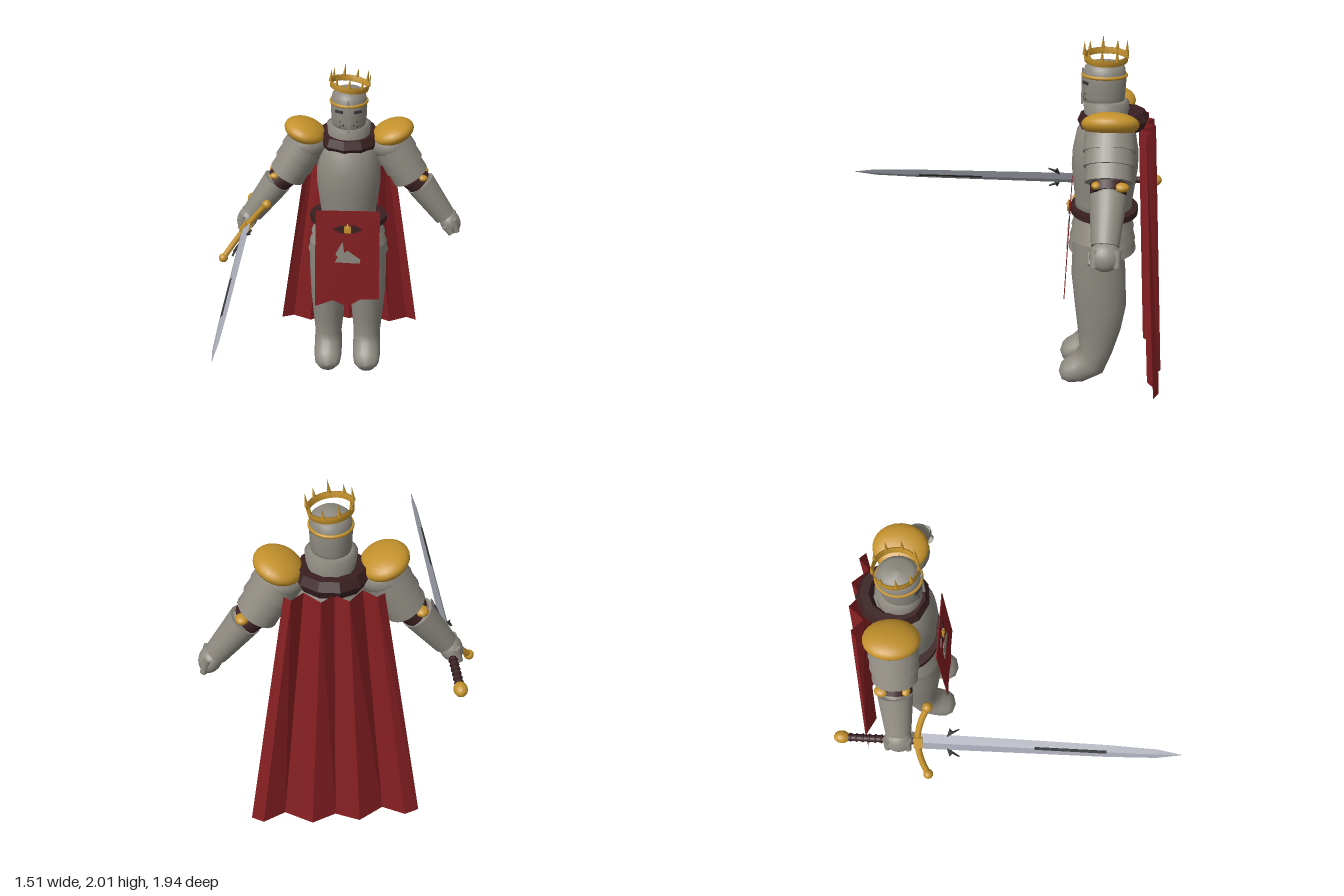
import * as THREE from 'three';

const mat = (name, color) => Object.assign(new THREE.MeshStandardMaterial({ color }), { name });

export function createModel() {
  const armour = mat('armour grey', 0x8e8a81);
  const gold = mat('gold', 0xc4922c);
  const red = mat('red cloth', 0x861f22);
  red.side = THREE.DoubleSide;
  const leather = mat('dark leather', 0x3a2022);
  const steel = mat('blade steel', 0xa6a9b4);
  const dark = mat('dark iron', 0x38383c);

  const model = new THREE.Group();
  model.name = 'knight';
  const body = new THREE.Group();
  body.name = 'body';
  body.position.x = 0.05;
  model.add(body);

  const add = (parent, name, geo, m, x = 0, y = 0, z = 0) => {
    const mesh = new THREE.Mesh(geo, m);
    mesh.name = name;
    mesh.position.set(x, y, z);
    parent.add(mesh);
    return mesh;
  };
  const flat = (geo) => {
    const g = geo.index ? geo.toNonIndexed() : geo;
    g.computeVertexNormals();
    return g;
  };
  const lathe = (pts, sz) =>
    new THREE.LatheGeometry(pts.map((p) => new THREE.Vector2(p[0], p[1])), 32).scale(1, 1, sz);
  const ball = (x, y, z) => new THREE.SphereGeometry(1, 24, 16).scale(x, y, z);
  // tapered cylinder from point a to point b
  const limb = (parent, name, a, b, ra, rb, m, depth = 1) => {
    const va = new THREE.Vector3(...a), vb = new THREE.Vector3(...b);
    const d = vb.clone().sub(va);
    const mesh = add(parent, name, new THREE.CylinderGeometry(rb, ra, d.length(), 24).scale(1, 1, depth), m);
    mesh.position.copy(va).addScaledVector(d, 0.5);
    mesh.quaternion.setFromUnitVectors(new THREE.Vector3(0, 1, 0), d.normalize());
    return mesh;
  };
  // rings: [y, z, half width, half depth, tilt], running down the leg to the toe
  const loft = (rings, n = 20) => {
    const pos = [], idx = [];
    rings.forEach(([y, z, rx, rd, t], r) => {
      for (let j = 0; j < n; j++) {
        const a = (j / n) * Math.PI * 2, d = Math.sin(a) * rd;
        pos.push(Math.cos(a) * rx, y + d * Math.sin(t), z + d * Math.cos(t));
        if (r === rings.length - 1) continue;
        const i = r * n + j, k = r * n + ((j + 1) % n);
        idx.push(i, k, i + n, k, k + n, i + n);
      }
    });
    const g = new THREE.BufferGeometry();
    g.setAttribute('position', new THREE.Float32BufferAttribute(pos, 3));
    g.setIndex(idx);
    g.computeVertexNormals();
    return g;
  };
  const plate = (pts, depth) => new THREE.ExtrudeGeometry(
    new THREE.Shape(pts.map((p) => new THREE.Vector2(p[0], p[1]))), { depth, bevelEnabled: false });

  // torso, gorget and hip plates
  add(body, 'torso', lathe([[0, 0.98], [0.17, 0.98], [0.17, 1.1], [0.18, 1.17], [0.196, 1.3], [0.192, 1.4],
    [0.17, 1.51], [0.12, 1.58], [0, 1.6]], 0.94), armour, 0, 0, -0.605);
  add(body, 'gorget', lathe([[0, 1.5], [0.15, 1.5], [0.125, 1.6], [0.132, 1.67], [0.1, 1.68], [0, 1.68]], 0.95),
    armour, 0, 0, -0.6);
  [[1.03, 0.2, 0.232], [0.96, 0.215, 0.245], [0.9, 0.23, 0.253]].forEach(([y, r0, r1]) =>
    add(body, 'hipPlate', new THREE.CylinderGeometry(r0, r1, 0.08, 32).scale(1, 1, 0.76), armour, 0, y - 0.04, -0.605));
  add(body, 'belt', new THREE.CylinderGeometry(0.24, 0.24, 0.035, 32).scale(1, 1, 0.79), leather, 0, 1.05, -0.61);
  const scarf = new THREE.TorusGeometry(0.148, 0.046, 6, 11).rotateX(Math.PI / 2).scale(1, 1.2, 1.02);
  add(body, 'scarf', flat(scarf), leather, 0, 1.565, -0.64).rotation.x = 0.07;

  // helmet with face ridge, eye slits, breaths and brow band
  add(body, 'helmet', lathe([[0, 1.64], [0.095, 1.64], [0.104, 1.7], [0.107, 1.78], [0.105, 1.82], [0.098, 1.86],
    [0.07, 1.885], [0, 1.895]], 1.1), armour, 0, 0, -0.585);
  add(body, 'faceRidge', new THREE.BoxGeometry(0.012, 0.2, 0.012), armour, 0, 1.75, -0.468);
  add(body, 'browBand', new THREE.TorusGeometry(0.107, 0.008, 8, 32).rotateX(Math.PI / 2).scale(1, 1.2, 1.1),
    gold, 0, 1.815, -0.585);
  for (const s of [-1, 1]) {
    add(body, 'eyeSlit', new THREE.BoxGeometry(0.05, 0.016, 0.009), dark, s * 0.055, 1.78, -0.484).rotation.y = s * 0.55;
    for (const [x, y] of [[0.03, 1.7], [0.05, 1.72], [0.05, 1.69]])
      add(body, 'breath', new THREE.BoxGeometry(0.008, 0.008, 0.009), dark, s * x, y, -0.585 + 1.1 * Math.sqrt(0.0108 - x * x));
  }

  // crown
  const crown = new THREE.Group();
  crown.name = 'crown';
  crown.position.set(0.002, 1.91, -0.59);
  crown.rotation.z = -0.13;
  body.add(crown);
  add(crown, 'crownBand', lathe([[0.108, -0.015], [0.114, -0.018], [0.118, 0.018], [0.11, 0.018], [0.108, -0.015]], 1.02), gold);
  for (let i = 0; i < 9; i++) {
    const a = (i / 9) * Math.PI * 2 + 0.2, h = i % 2 ? 0.055 : 0.075;
    const x = Math.cos(a) * 0.115, z = Math.sin(a) * 0.117;
    add(crown, 'crownSpike', new THREE.ConeGeometry(0.011, h, 6), gold, x, 0.012 + h / 2, z);
    add(crown, 'crownBead', new THREE.SphereGeometry(0.008, 8, 6), gold, x, 0.03, z);
  }

  // arms and legs
  for (const s of [-1, 1]) {
    const z = -0.62;
    add(body, 'pauldron', ball(0.13, 0.066, 0.152), gold, s * 0.262, 1.61, z).rotation.z = s * 0.32;
    add(body, 'shoulder', ball(0.13, 0.1, 0.135), armour, s * 0.25, 1.54, z);
    [[0.24, 1.565, 0.294, 1.47, 0.118, 0.126], [0.275, 1.505, 0.336, 1.4, 0.115, 0.122],
      [0.31, 1.44, 0.377, 1.328, 0.108, 0.114]].forEach(([x0, y0, x1, y1, r0, r1]) =>
      limb(body, 'shoulderLame', [s * x0, y0, z], [s * x1, y1, z], r0, r1, armour, 1.1));
    limb(body, 'elbow', [s * 0.36, 1.35, z], [s * 0.46, 1.26, z], 0.07, 0.07, armour);
    limb(body, 'elbowStrap', [s * 0.39, 1.318, z], [s * 0.436, 1.278, z], 0.08, 0.078, leather, 1.2);
    add(body, 'elbowDisc', ball(0.035, 0.025, 0.04), gold, s * 0.455, 1.33, z - 0.065);
    add(body, 'elbowDisc', ball(0.03, 0.02, 0.025), gold, s * 0.45, 1.335, z + 0.065);
    limb(body, 'forearm', [s * 0.44, 1.275, z], [s * 0.6, 1.06, z + 0.01], 0.09, 0.066, armour, 1.1);
    add(body, 'fist', ball(0.062, 0.08, 0.08), armour, s * 0.635, 1.02, -0.61).rotation.z = s * 0.5;
    for (let i = 0; i < 4; i++)
      limb(body, 'finger', [s * 0.65, 1.06, -0.67 + i * 0.038], [s * 0.675, 0.975, -0.67 + i * 0.038], 0.022, 0.019, armour);
    limb(body, 'thumb', [s * 0.6, 1.02, -0.54], [s * 0.64, 0.97, -0.54], 0.022, 0.018, armour);

    add(body, 'leg', loft([[0.9, -0.58, 0.112, 0.14, 0], [0.7, -0.59, 0.117, 0.153, 0], [0.5, -0.607, 0.112, 0.145, 0],
      [0.35, -0.605, 0.1, 0.123, 0], [0.22, -0.592, 0.087, 0.097, 0.1], [0.13, -0.555, 0.09, 0.1, 0.6],
      [0.09, -0.49, 0.09, 0.085, 1.1], [0.071, -0.43, 0.082, 0.07, 1.35], [0.066, -0.395, 0.058, 0.048, 1.5],
      [0.064, -0.378, 0.001, 0.001, 1.5]]), armour, s * 0.127);
  }

  // tabard with its device and buckle
  const tabard = new THREE.Group();
  tabard.name = 'tabard';
  tabard.position.set(0, 0.51, -0.4);
  tabard.rotation.x = -0.04;
  body.add(tabard);
  add(tabard, 'tabardCloth', plate([[-0.205, 0], [-0.09, 0.045], [0, 0], [0.085, 0.055], [0.2, 0.055],
    [0.195, 0.66], [-0.195, 0.66]], 0.005), red);
  add(tabard, 'tabardDevice', plate([[-0.078, 0.315], [0.076, 0.308], [0.08, 0.335], [0, 0.395], [-0.02, 0.38],
    [-0.03, 0.455], [-0.075, 0.37], [-0.06, 0.35]], 0.004), armour, 0, 0, 0.005);
  add(tabard, 'bucklePlate', plate([[-0.09, 0.54], [-0.045, 0.515], [0.045, 0.515], [0.09, 0.54],
    [0.045, 0.565], [-0.045, 0.565]], 0.006), leather, 0, 0, 0.005);
  add(tabard, 'buckle', new THREE.BoxGeometry(0.042, 0.042, 0.012), gold, 0, 0.541, 0.014);
  add(tabard, 'buckleKnob', new THREE.ConeGeometry(0.014, 0.03, 8), gold, 0, 0.57, 0.014);

  // pleated cape flaring toward the hem
  const folds = [[-1, -0.915], [-0.83, -0.945], [-0.57, -0.885], [-0.28, -0.97], [0, -0.915],
    [0.28, -0.97], [0.6, -0.885], [0.86, -0.945], [1, -0.91]];
  const cape = new THREE.PlaneGeometry(1, 1, folds.length - 1, 1);
  const cp = cape.attributes.position;
  for (let i = 0; i < cp.count; i++) {
    const [u, z] = folds[i % folds.length], top = i < folds.length;
    cp.setXYZ(i, u * (top ? 0.245 : 0.465), top ? 1.555 : 0.1, z + (top ? 0.1 : 0));
  }
  add(body, 'cape', flat(cape), red);

  // sword, local x across the blade and z toward the tip
  const sword = new THREE.Group();
  sword.name = 'sword';
  sword.position.set(-0.585, 1.006, 0);
  sword.rotation.z = 0.92;
  model.add(sword);
  const blade = new THREE.CylinderGeometry(1, 1, 1, 4, 3).rotateX(Math.PI / 2);
  const bp = blade.attributes.position;
  const stations = [[-0.5, 0.054], [0.55, 0.042], [0.83, 0.03], [0.97, 0.001]];
  for (let i = 0; i < bp.count; i++) {
    const [z, w] = stations[Math.round((bp.getZ(i) + 0.5) * 3)];
    bp.setXYZ(i, bp.getX(i) * w, bp.getY(i) * w * 0.28, z);
  }
  add(sword, 'blade', flat(blade), steel);
  add(sword, 'fuller', new THREE.BoxGeometry(0.018, 0.026, 0.4), dark, 0, 0, 0.35);
  for (const s of [-1, 1]) {
    const lug = plate([[s * 0.04, -0.34], [s * 0.096, -0.27], [s * 0.075, -0.31], [s * 0.096, -0.325]], 0.012);
    add(sword, 'bladeLug', lug.rotateX(Math.PI / 2), dark, 0, 0.006, 0);
    add(sword, 'guardKnob', ball(0.028, 0.028, 0.028), gold, s * 0.235, 0, -0.447);
  }
  const guard = new THREE.CatmullRomCurve3([[-0.23, -0.45], [-0.12, -0.488], [0, -0.505], [0.12, -0.488], [0.23, -0.45]]
    .map(([x, z]) => new THREE.Vector3(x, 0, z)));
  add(sword, 'guard', new THREE.TubeGeometry(guard, 24, 0.018, 10), gold);
  add(sword, 'guardBlock', new THREE.BoxGeometry(0.07, 0.05, 0.05), gold, 0, 0, -0.5);
  add(sword, 'grip', new THREE.CylinderGeometry(0.02, 0.02, 0.4, 12).rotateX(Math.PI / 2), leather, 0, 0, -0.71);
  for (let i = 0; i < 9; i++)
    add(sword, 'gripRing', new THREE.TorusGeometry(0.02, 0.006, 6, 12), leather, 0, 0, -0.88 + i * 0.035);
  add(sword, 'pommel', ball(0.036, 0.036, 0.045), gold, 0, 0, -0.928);
  return model;
}
